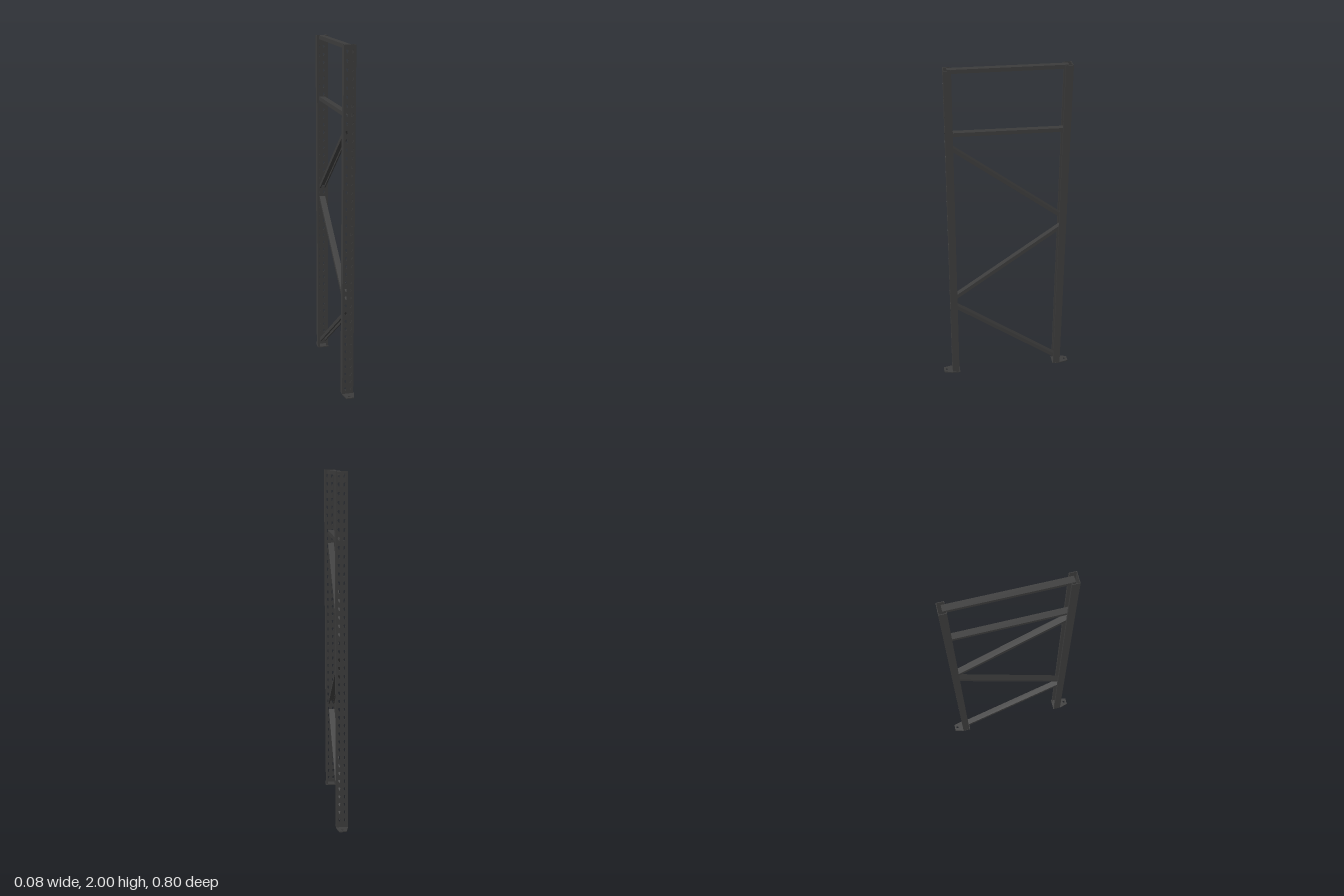
import * as THREE from 'three';

const steel = new THREE.MeshStandardMaterial({ color: 0x3c3c3c, side: THREE.DoubleSide });
const H = 1.992, W = 0.066, D = 0.042, T = 0.003, PITCH = 0.047;

function add(parent, name, geometry, x = 0, y = 0, z = 0) {
  const mesh = new THREE.Mesh(geometry, steel);
  mesh.name = name;
  mesh.position.set(x, y, z);
  parent.add(mesh);
  return mesh;
}

function polygon(points, Type = THREE.Shape) {
  return new Type(points.map(([x, y]) => new THREE.Vector2(x, y)));
}

function extrude(shape, depth) {
  return new THREE.ExtrudeGeometry(shape, { depth, bevelEnabled: false, curveSegments: 8 });
}

// Teardrop slot, wide at the top and leaning towards the middle at the bottom
function slot(side, y) {
  const x = side * 0.0155, lean = -side * 0.003;
  return polygon([
    [x - 0.003, y + 0.010], [x + 0.003, y + 0.010], [x + 0.006, y + 0.005], [x + 0.005, y],
    [x + lean + 0.002, y - 0.010], [x + lean - 0.002, y - 0.010], [x - 0.005, y], [x - 0.006, y + 0.005],
  ], THREE.Path);
}

// Upright facing +z: slotted web, two flanges and inward lips, on a foot plate
function makeUpright(name, phase) {
  const upright = new THREE.Group();
  upright.name = name;

  const web = polygon([[-W / 2, 0], [W / 2, 0], [W / 2, H], [-W / 2, H]]);
  for (let y = 0.03 + phase; y < H - 0.015; y += PITCH) {
    for (const side of [-1, 1]) web.holes.push(slot(side, y));
  }
  add(upright, 'slottedWeb', extrude(web, T), 0, 0.004, D / 2 - T);

  for (const side of [-1, 1]) {
    add(upright, 'flange', new THREE.BoxGeometry(T, H, D), side * (W - T) / 2, H / 2 + 0.004, 0);
    add(upright, 'lip', new THREE.BoxGeometry(0.012, H, T), side * (W / 2 - 0.006), H / 2 + 0.004, -D / 2 + T / 2);
  }
  return upright;
}

// Tapered base plate with an anchor hole
function makeFoot(name) {
  const plate = polygon([
    [-0.034, -0.025], [0.034, -0.025], [0.034, 0.025], [0.021, 0.076], [-0.021, 0.076], [-0.034, 0.025],
  ]);
  const hole = new THREE.Path();
  hole.absarc(0, 0.058, 0.007, 0, Math.PI * 2, true);
  plate.holes.push(hole);
  const geometry = extrude(plate, 0.006).rotateX(Math.PI / 2).translate(0, 0.006, 0);
  const foot = new THREE.Group();
  foot.name = name;
  add(foot, 'footPlate', geometry);
  return foot;
}

// Lipped channel, open underneath, running from (z0, y0) to (z1, y1)
const w = 0.0175, h = 0.011, t = 0.0025, lip = 0.007;
const channel = polygon([
  [-w, h], [-w, -h], [-w + lip, -h], [-w + lip, -h + t], [-w + t, -h + t], [-w + t, h - t],
  [w - t, h - t], [w - t, -h + t], [w - lip, -h + t], [w - lip, -h], [w, -h], [w, h],
]);
function makeBrace(parent, name, z0, y0, z1, y1) {
  const length = Math.hypot(z1 - z0, y1 - y0);
  const brace = add(parent, name, extrude(channel, length).translate(0, 0, -length / 2),
    -0.003 + 0.0035 * (y0 + y1) / 2, (y0 + y1) / 2, (z0 + z1) / 2);
  brace.rotation.x = Math.atan2(y1 - y0, z0 - z1);
}

export function createModel() {
  const frame = new THREE.Group();
  frame.name = 'rackFrame';

  for (const [label, dir, x, phase] of [['front', 1, 0.001, 0], ['back', -1, -0.003, 0.014]]) {
    const post = makeUpright(label + 'Upright', phase);
    post.rotation.y = dir > 0 ? 0 : Math.PI;
    // The whole frame leans very slightly
    const lean = new THREE.Group();
    lean.name = label + 'Post';
    lean.rotation.set(-0.0055, 0, -0.0035);
    lean.position.set(x, 0.002, dir * 0.325);
    lean.add(post);
    frame.add(lean);

    const foot = makeFoot(label + 'Foot');
    foot.position.set(dir * 0.003, 0, dir * 0.324);
    foot.rotation.y = dir > 0 ? 0 : Math.PI;
    frame.add(foot);
  }

  makeBrace(frame, 'topBrace', 0.315, 1.986, -0.335, 1.986);
  makeBrace(frame, 'upperBrace', 0.315, 1.63, -0.332, 1.625);
  makeBrace(frame, 'upperDiagonal', 0.315, 1.555, -0.325, 1.08);
  makeBrace(frame, 'middleDiagonal', 0.32, 0.555, -0.325, 1.01);
  makeBrace(frame, 'lowerDiagonal', 0.32, 0.50, -0.322, 0.045);
  return frame;
}
